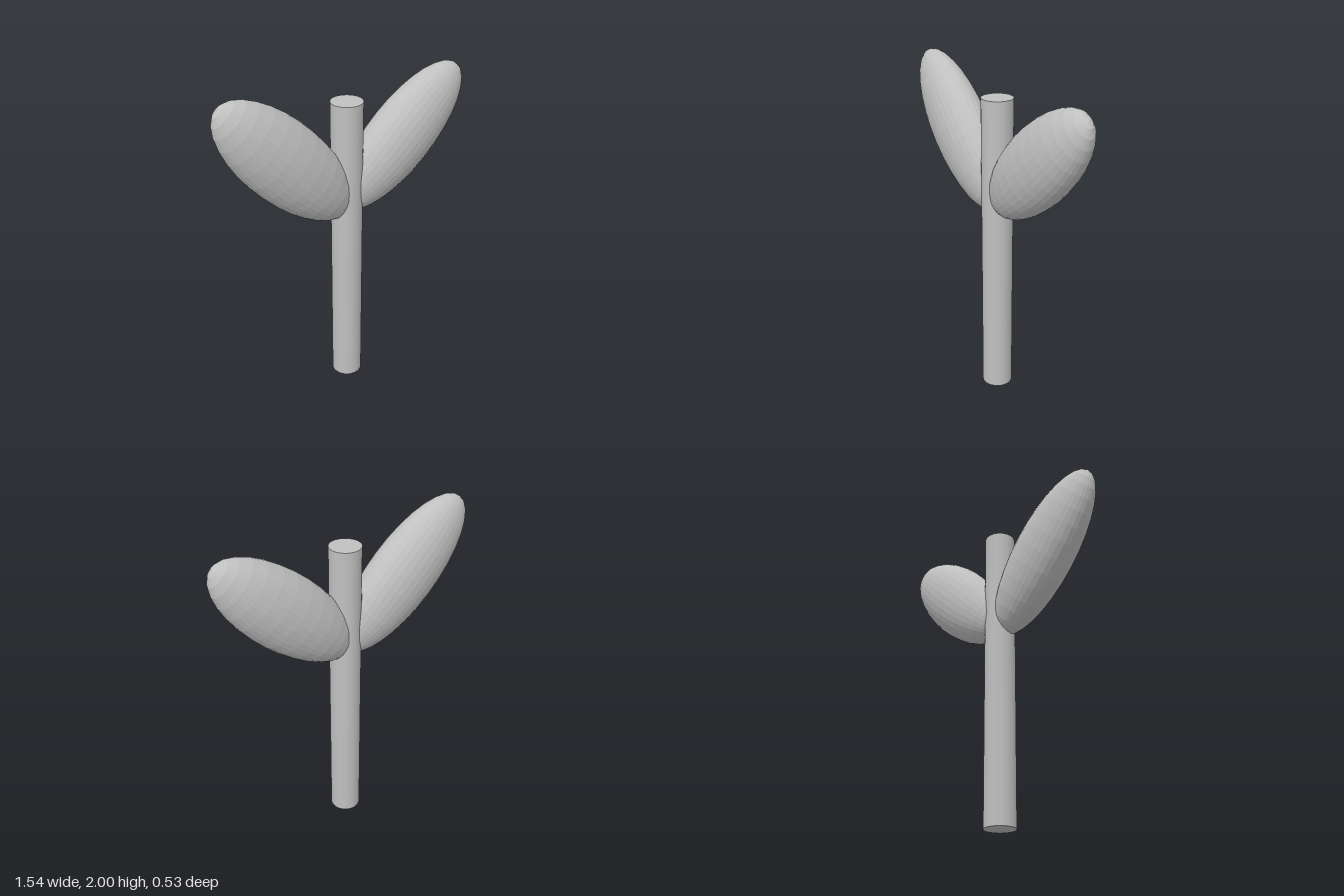
import * as THREE from 'three';

const grey = new THREE.MeshStandardMaterial({ color: 0xc0c0c0 });
grey.name = 'grey';

// Faceted ellipsoid leaf, tilted up from horizontal, then turned about the stem
function makeLeaf(name, [length, width, depth], tilt, turn, position) {
  const ball = new THREE.SphereGeometry(1, 32, 16);
  ball.scale(width, length, depth);
  ball.rotateZ(THREE.MathUtils.degToRad(tilt - 90));
  ball.rotateY(turn);
  const geometry = ball.toNonIndexed();
  geometry.computeVertexNormals();
  const leaf = new THREE.Mesh(geometry, grey);
  leaf.name = name;
  leaf.position.set(...position);
  return leaf;
}

export function createModel() {
  const model = new THREE.Group();
  model.name = 'sprout';

  // Upright round stem
  const stem = new THREE.Mesh(new THREE.CylinderGeometry(0.092, 0.092, 1.85, 32), grey);
  stem.name = 'stem';
  stem.position.y = 0.925;
  model.add(stem);

  // Two opposite leaves, one a little larger and steeper
  model.add(makeLeaf('leftLeaf', [0.528, 0.218, 0.15], 42.3, -0.25, [0.365, 1.555, 0.086]));
  model.add(makeLeaf('rightLeaf', [0.543, 0.224, 0.15], 46.3, Math.PI - 0.25, [-0.372, 1.578, -0.09]));
  return model;
}
